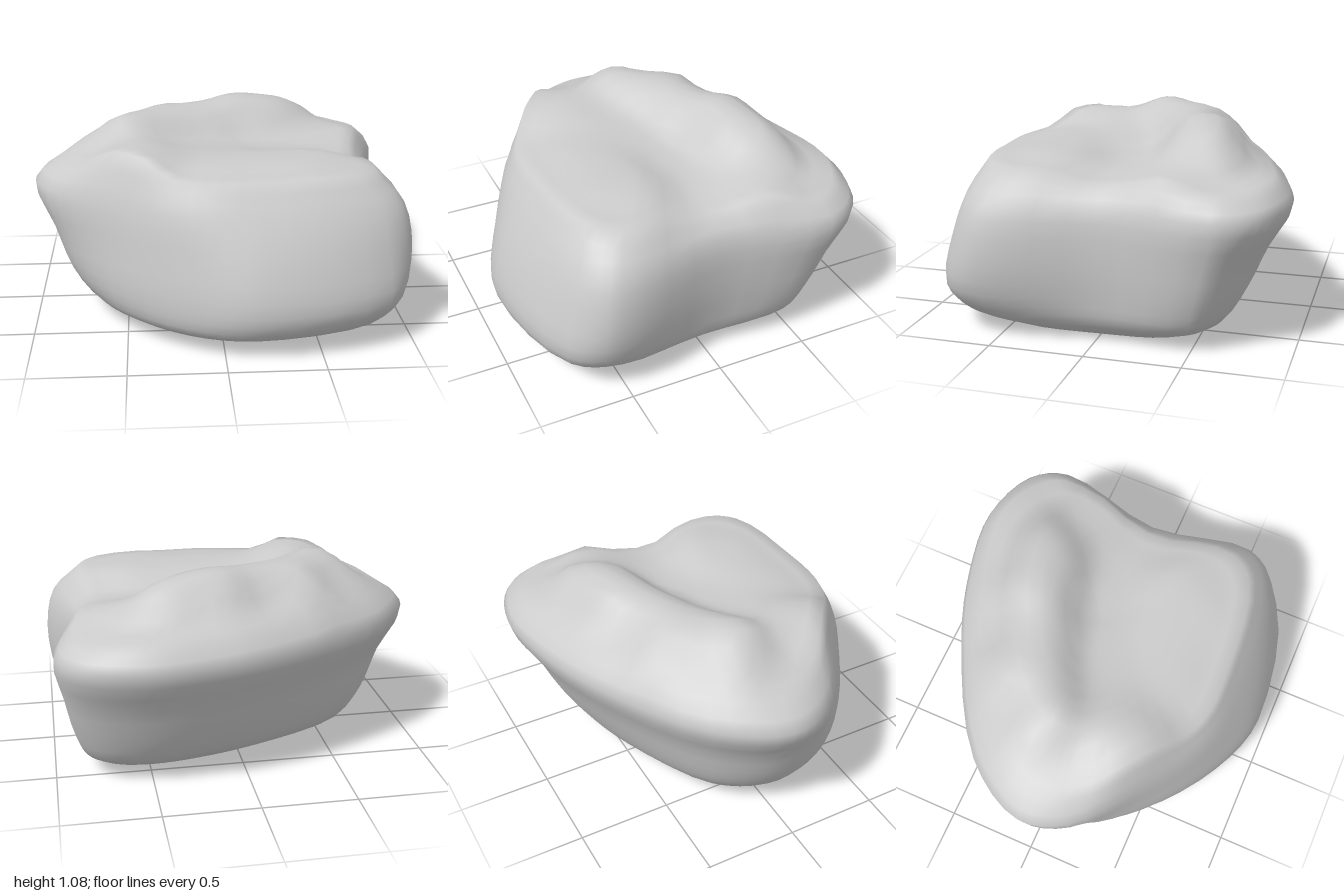
import * as THREE from 'three';

const COLUMNS = 56;

// Outlines of the boulder from base to shoulder: height, then x, z pairs
// running right tip -> back -> left notch -> front.
const OUTLINES = [
  [0.02, [-.5, 0, -.42, -.15, -.05, -.3, .2, -.4, .45, -.45, .6, -.43, .7, -.35,
    .74, 0, .72, .4, .6, .55, .15, .62, -.12, .58, -.35, .4, -.47, .15]],
  [0.11, [-.71, 0, -.57, -.25, -.1, -.5, .25, -.6, .52, -.63, .72, -.59, .83, -.48,
    .83, 0, .87, .5, .76, .72, .17, .88, -.19, .78, -.53, .5, -.68, .22]],
  [0.25, [-.81, 0, -.64, -.3, -.13, -.58, .22, -.69, .54, -.72, .77, -.66, .89, -.52,
    .86, -.02, .97, .56, .85, .79, .18, .94, -.17, .83, -.58, .53, -.78, .25]],
  [0.48, [-.9, 0, -.7, -.34, -.17, -.66, .21, -.79, .56, -.82, .82, -.74, .94, -.58,
    .88, -.03, 1, .56, .84, .76, .18, .89, -.17, .8, -.59, .52, -.85, .25]],
  [0.72, [-1, -.03, -.8, -.38, -.2, -.75, .19, -.89, .56, -.94, .87, -.83, .98, -.63,
    .86, -.04, .95, .53, .8, .69, .18, .78, -.17, .74, -.58, .5, -.92, .22]],
];
const SHOULDER = [-.8, -.03, -.62, -.33, -.18, -.63, .2, -.78, .54, -.84, .78, -.74, .88, -.6,
  .76, -.04, .8, .45, .68, .6, .17, .68, -.17, .66, -.48, .46, -.75, .2];

// Heights of the top: x, z, y
const HEIGHTS = [
  [-.8, -.03, .86], [-.62, -.33, .86], [-.18, -.65, .86], [.2, -.8, .85], [.54, -.84, .85],
  [.88, -.65, .83], [.76, -.04, .82], [.8, .45, .88], [.68, .6, .89], [.17, .68, .88],
  [-.17, .66, .87], [-.5, .46, .98], [-.75, .2, .88],
  // ridge
  [.4, -.44, 1.05], [.18, -.43, 1.09], [-.1, -.33, 1.06], [-.33, -.22, 1.06], [-.52, -.1, 1.08],
  // hollow
  [.5, -.12, .85], [.25, -.08, .87], [0, .02, .9], [-.2, .12, .93],
  // front shelf
  [.5, .3, .92], [.2, .35, .92], [-.1, .4, .92], [-.42, .25, 1], [.65, -.35, .9],
];

function topHeight(x, z) {
  let sum = 0, total = 0;
  for (const [px, pz, h] of HEIGHTS) {
    const w = Math.exp(-((x - px) ** 2 + (z - pz) ** 2) / (2 * 0.12 ** 2)) + 1e-9;
    sum += w * h;
    total += w;
  }
  return sum / total;
}

// Closed smooth ring through x, z pairs
function ring(pairs, y) {
  const points = [];
  for (let i = 0; i < pairs.length; i += 2) points.push(new THREE.Vector3(pairs[i], y, pairs[i + 1]));
  const curve = new THREE.CatmullRomCurve3(points, true);
  return Array.from({ length: COLUMNS }, (_, i) => curve.getPoint(i / COLUMNS));
}

function boulderGeometry() {
  const levels = OUTLINES.map(([y, pairs]) => ring(pairs, y));
  const shoulder = ring(SHOULDER, 0);
  shoulder.forEach(p => { p.y = topHeight(p.x, p.z); });
  levels.push(shoulder);

  // Sides: a smooth rising curve in each column
  const steps = 15;
  const columns = shoulder.map((_, i) =>
    new THREE.CatmullRomCurve3(levels.map(l => l[i])).getPoints(steps));
  const rings = [];
  for (let s = 0; s <= steps; s++) rings.push(columns.map(c => c[s]));

  // Top: the shoulder drawn in towards the middle, following the heights
  const mid = new THREE.Vector2(0.13, -0.04);
  for (let k = 9; k >= 1; k--) {
    rings.push(shoulder.map(p => {
      const x = mid.x + (p.x - mid.x) * k / 10, z = mid.y + (p.z - mid.y) * k / 10;
      return new THREE.Vector3(x, topHeight(x, z), z);
    }));
  }

  const points = rings.flat();
  const index = [];
  for (let r = 0; r < rings.length - 1; r++) {
    for (let i = 0; i < COLUMNS; i++) {
      const j = (i + 1) % COLUMNS;
      const a = r * COLUMNS + i, b = r * COLUMNS + j;
      const c = a + COLUMNS, d = b + COLUMNS;
      index.push(a, c, b, b, c, d);
    }
  }
  // Close the base and the middle of the top
  const base = points.push(new THREE.Vector3(0.2, 0, 0.05)) - 1;
  const crown = points.push(new THREE.Vector3(mid.x, topHeight(mid.x, mid.y), mid.y)) - 1;
  const last = (rings.length - 1) * COLUMNS;
  for (let i = 0; i < COLUMNS; i++) {
    const j = (i + 1) % COLUMNS;
    index.push(base, i, j, last + i, crown, last + j);
  }
  const geometry = new THREE.BufferGeometry().setFromPoints(points);
  geometry.setIndex(index);
  geometry.computeVertexNormals();
  return geometry;
}

export function createModel() {
  const group = new THREE.Group();
  group.name = 'rock';
  const boulder = new THREE.Mesh(boulderGeometry(), new THREE.MeshStandardMaterial({ color: 0xcccccc }));
  boulder.name = 'boulder';
  group.add(boulder);
  return group;
}
